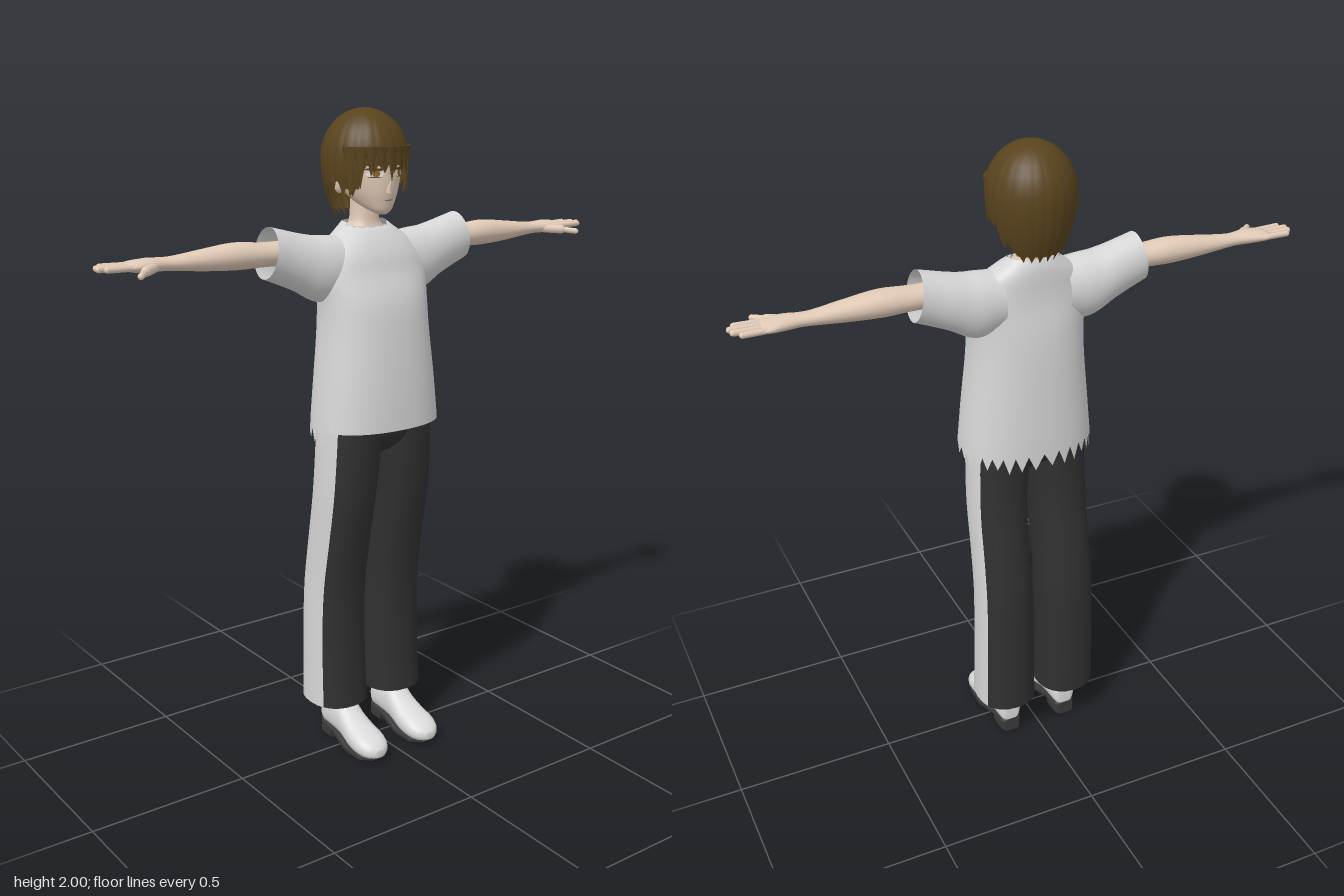
import * as THREE from 'three';

const paint = (name, color, side = THREE.FrontSide) => {
  const m = new THREE.MeshStandardMaterial({ color, side });
  m.name = name;
  return m;
};

// smooth interpolation through a table of section values, t in 0..rows-1
function sample(rows, t) {
  const last = rows.length - 1;
  const i = Math.min(Math.floor(t), last - 1), f = t - i;
  const at = k => rows[Math.max(0, Math.min(last, k))];
  return rows[0].map((_, c) => {
    const [p, q, r, s] = [at(i - 1)[c], at(i)[c], at(i + 1)[c], at(i + 2)[c]];
    return q + 0.5 * f * (r - p + f * (2 * p - 5 * q + 4 * r - s + f * (3 * (q - r) + s - p)));
  });
}

// skin a closed ring of points over the sections; the winding is turned outwards
function loft(rows, point, { steps = 4, seg = 24, cap = false, flat = false, alt = null } = {}) {
  const ni = (rows.length - 1) * steps, pos = [], lists = [[], []];
  for (let i = 0; i <= ni; i++) {
    const row = sample(rows, i / steps);
    for (let j = 0; j < seg; j++) pos.push(...point(row, (j / seg) * Math.PI * 2, i, j, ni));
  }
  for (let i = 0; i < ni; i++) for (let j = 0; j < seg; j++) {
    const a = i * seg + j, b = i * seg + (j + 1) % seg;
    lists[alt && alt(j) ? 1 : 0].push(a, b, a + seg, b, b + seg, a + seg);
  }
  if (cap) for (const i of [0, ni]) {
    const mid = [0, 0, 0], c = pos.length / 3;
    for (let j = 0; j < seg; j++) for (let k = 0; k < 3; k++) mid[k] += pos[(i * seg + j) * 3 + k] / seg;
    pos.push(...mid);
    for (let j = 0; j < seg; j++) {
      const a = i * seg + j, b = i * seg + (j + 1) % seg;
      lists[0].push(...(i ? [a, b, c] : [b, a, c]));
    }
  }
  const centre = new THREE.Vector3(), v = k => new THREE.Vector3().fromArray(pos, k * 3);
  for (let k = 0; k < pos.length / 3; k++) centre.addScaledVector(v(k), 3 / pos.length);
  const all = lists.flat();
  let volume = 0;
  for (let k = 0; k < all.length; k += 3) {
    const [a, b, c] = [0, 1, 2].map(n => v(all[k + n]).sub(centre));
    volume += a.dot(b.cross(c));
  }
  if (volume < 0) for (const l of lists) for (let k = 0; k < l.length; k += 3) [l[k], l[k + 1]] = [l[k + 1], l[k]];
  let g = new THREE.BufferGeometry();
  g.setAttribute('position', new THREE.Float32BufferAttribute(pos, 3));
  g.setIndex(lists.flat());
  if (alt) {
    g.addGroup(0, lists[0].length, 0);
    g.addGroup(lists[0].length, lists[1].length, 1);
  }
  if (flat) g = g.toNonIndexed();
  g.computeVertexNormals();
  return g;
}

// rounded-square cosine and sine
const round = (v, n) => Math.sign(v) * Math.abs(v) ** (2 / n);
const alongX = ([x, y, ry, z, rz], a) => [x, y + ry * Math.sin(a), z + rz * Math.cos(a)];
const alongY = ([y, x, rx, z, rz], a) => [x + rx * round(Math.cos(a), 2.3), y, z + rz * round(Math.sin(a), 2.3)];
const alongZ = n => ([z, rx, lo, hi], a) =>
  [rx * round(Math.cos(a), n), (lo + hi) / 2 + (hi - lo) / 2 * round(Math.sin(a), n), z];

export function createModel() {
  const model = new THREE.Group();
  const skin = paint('skin', 0xe0c9b6), hairMat = paint('hair brown', 0x59431d, THREE.DoubleSide);
  const cloth = paint('shirt white', 0xd6d6d6, THREE.DoubleSide), dark = paint('trouser black', 0x303030, THREE.DoubleSide);
  const leather = paint('shoe white', 0xdcdcdc), soleMat = paint('sole grey', 0x3a3a3a);
  const white = paint('eye white', 0xeeeae4), iris = paint('iris amber', 0x8a6830), lip = paint('lip', 0xa0705c);
  const add = (parent, name, geometry, material) => {
    const m = new THREE.Mesh(geometry, material);
    m.name = name;
    parent.add(m);
    return m;
  };
  let seed = 7;
  const rand = () => (seed = (seed * 16807) % 2147483647) / 2147483647;

  // shirt body with torn hem and collar
  const torso = [[1.068, 0, .208, .005, .145], [1.2, 0, .195, .004, .14], [1.35, 0, .18, 0, .13], [1.45, 0, .178, -.004, .118],
    [1.53, 0, .186, -.014, .096], [1.58, 0, .17, -.02, .086], [1.62, 0, .138, -.03, .075], [1.65, 0, .1, -.04, .062], [1.675, 0, .072, -.044, .05]];
  add(model, 'shirtBody', loft(torso, (row, a, i, j, ni) => {
    const p = alongY(row, a), front = Math.sin(a);
    if (i === 0 && front < .25 && j % 2) p[1] -= .03 + .028 * rand();
    if (i > ni - 4 && front > 0) p[1] -= front * .015 * (i - ni + 4) / 4;
    if (i === ni && front > .1 && j % 4 < 2) p[1] -= .016;
    return p;
  }, { seg: 64 }), cloth);

  // neck and head
  const neck = [[1.6, 0, .08, -.045, .055], [1.65, 0, .066, -.045, .05], [1.68, 0, .044, -.045, .042], [1.77, 0, .04, -.045, .04]];
  add(model, 'neck', loft(neck, alongY), skin);
  const head = [[1.7, 0, .012, .045, .014], [1.712, 0, .034, .032, .036], [1.735, 0, .056, .004, .07], [1.77, 0, .076, -.018, .098],
    [1.82, 0, .09, -.027, .108], [1.88, 0, .095, -.03, .11], [1.94, 0, .075, -.035, .085], [1.965, 0, .04, -.035, .05]];
  add(model, 'head', loft(head, ([y, , rx, z, rz], a) => [rx * Math.cos(a), y, z + rz * Math.sin(a)], { seg: 32, cap: true }), skin);
  const faceZ = (x, y) => {
    let lo = 0, hi = head.length - 1;
    for (let k = 0; k < 20; k++) {
      const mid = (lo + hi) / 2;
      if (sample(head, mid)[0] < y) lo = mid; else hi = mid;
    }
    const [, , rx, z, rz] = sample(head, lo);
    return z + rz * Math.sqrt(Math.max(0, 1 - (x / rx) ** 2));
  };
  // thin oval laid on the face
  const patch = (name, x, y, w, h, lift, mat) => {
    const g = new THREE.CircleGeometry(1, 20).scale(w, h, 1).translate(x, y, 0), p = g.attributes.position;
    for (let k = 0; k < p.count; k++) p.setZ(k, faceZ(p.getX(k), p.getY(k)) + lift);
    g.computeVertexNormals();
    add(model, name, g, mat);
  };
  for (const s of [-1, 1]) {
    patch('eyeWhite', s * .042, 1.82, .023, .011, .002, white);
    patch('iris', s * .041, 1.82, .01, .011, .003, iris);
    patch('upperLash', s * .043, 1.831, .026, .004, .004, hairMat);
    patch('lowerLash', s * .044, 1.809, .016, .0015, .003, hairMat);
    const ear = add(model, 'ear', new THREE.SphereGeometry(1, 14, 10), skin);
    ear.scale.set(.014, .032, .022);
    ear.position.set(s * .09, 1.79, -.045);
  }
  patch('mouth', 0, 1.742, .015, .0018, .002, lip);
  const nose = add(model, 'nose', new THREE.ConeGeometry(.011, .04, 10), skin);
  nose.position.set(0, 1.785, .084);
  nose.rotation.x = .35;

  // hair shell: short over the face, longer towards the nape, with ragged ends
  const edge = deg => deg < 42 ? 1.842 : deg < 75 ? 1.775 : deg < 105 ? 1.795 : deg < 130 ? 1.735 : 1.7;
  add(model, 'hairShell', loft([[0], [1]], ([v], a, i, j) => {
    const deg = Math.abs(a > Math.PI ? a - 2 * Math.PI : a) * 180 / Math.PI;
    const low = edge(deg) - (j % 3 === 1 ? .022 : 0);
    const y = low + (2 - low) * Math.cos(v * Math.PI / 2);
    const d = y - 1.86;
    const r = (d > 0 ? Math.sqrt(Math.max(0, 1 - (d / .14) ** 2)) : 1 - .26 * (d / .16) ** 2) * (1 + .018 * v * Math.cos(a * 24));
    return [.127 * r * Math.sin(a), y, -.042 + .134 * r * Math.cos(a)];
  }, { steps: 16, seg: 72 }), hairMat);

  // fringe and side locks: [angle, tip height, half width]
  const locks = [[0, 1.795, .02], [16, 1.825, .02], [30, 1.81, .02], [44, 1.775, .022], [58, 1.745, .022]];
  for (const s of [-1, 1]) for (const [deg, tip, w] of locks) {
    if (s < 0 && deg === 0) continue;
    const h = 1.895 - tip, a = s * deg * Math.PI / 180;
    const lock = add(model, 'hairLock', new THREE.ConeGeometry(w, h, 8).rotateX(Math.PI).scale(1, 1, .35), hairMat);
    lock.position.set(.122 * Math.sin(a), tip + h / 2, -.042 + .134 * Math.cos(a));
    lock.rotation.y = a;
  }

  // hips under the shirt
  add(model, 'hips', loft([[.985, 0, .1, 0, .06], [1.02, 0, .155, 0, .095], [1.07, 0, .168, 0, .108], [1.14, 0, .165, 0, .105]], alongY, { cap: true }), dark);

  const sleeve = [[.1, 1.548, .088, -.03, .075], [.16, 1.545, .098, -.032, .078], [.2, 1.55, .096, -.033, .076], [.25, 1.57, .085, -.035, .071],
    [.3, 1.588, .079, -.035, .066], [.35, 1.605, .074, -.035, .064]];
  const arm = [[.2, 1.6, .04, -.035, .04], [.35, 1.602, .035, -.035, .042], [.45, 1.605, .039, -.038, .044], [.55, 1.603, .031, -.04, .036],
    [.64, 1.602, .021, -.043, .027], [.68, 1.603, .019, -.043, .027], [.72, 1.604, .02, -.042, .035], [.765, 1.604, .016, -.045, .042], [.79, 1.604, .01, -.046, .039]];
  const leg = [[1.09, .092, .09, 0, .108], [1, .094, .092, -.001, .106], [.85, .102, .088, -.012, .105], [.7, .104, .087, -.038, .103],
    [.55, .105, .089, -.062, .1], [.4, .106, .092, -.068, .099], [.25, .106, .094, -.067, .102], [.145, .106, .096, -.064, .106]];
  const shoe = [[-.112, .022, .045, .1], [-.1, .036, .035, .14], [-.055, .043, .035, .152], [-.005, .044, .028, .15], [.03, .047, .02, .122],
    [.075, .053, .01, .096], [.125, .054, .008, .078], [.16, .04, .012, .06], [.177, .016, .02, .044]];
  const sole = [[-.114, .026, .002, .05], [-.1, .035, 0, .05], [-.05, .037, 0, .045], [-.044, .037, .024, .042], [0, .043, .01, .036],
    [.05, .05, 0, .02], [.125, .05, .001, .02], [.165, .028, .01, .022]];
  const fingers = [[-.075, -.08, .853], [-.055, -.057, .872], [-.035, -.034, .876], [-.015, -.014, .86]];
  const up = new THREE.Vector3(0, 1, 0);
  const rod = (parent, name, a, b, r) => {
    const p = new THREE.Vector3(...a), d = new THREE.Vector3(...b).sub(p), len = d.length();
    const m = add(parent, name, new THREE.CapsuleGeometry(r, len - 2 * r, 5, 10), skin);
    m.position.copy(p).addScaledVector(d, .5);
    m.quaternion.setFromUnitVectors(up, d.normalize());
  };

  // limbs, mirrored for the right side
  for (const [side, s] of [['left', 1], ['right', -1]]) {
    const limbs = new THREE.Group();
    limbs.name = side + 'Limbs';
    limbs.scale.x = s;
    model.add(limbs);
    add(limbs, 'sleeve', loft(sleeve, (row, a) => {
      const p = alongX(row, a);
      p[0] -= (p[1] - row[1]) * .17 * Math.max(0, (row[0] - .2) / .15);
      return p;
    }, { seg: 32 }), cloth);
    add(limbs, 'arm', loft(arm, alongX, { cap: true }), skin);
    for (const [z0, z1, tip] of fingers) rod(limbs, 'finger', [.765, 1.604, z0], [tip, 1.606, z1], .0092);
    rod(limbs, 'thumbBase', [.7, 1.6, -.03], [.765, 1.595, .022], .014);
    rod(limbs, 'thumb', [.75, 1.597, .008], [.792, 1.59, .055], .0095);
    // trouser leg with the pale stripe down its outer side
    add(limbs, 'trouserLeg', loft(leg, alongY, { alt: j => j < 2 || j > 21 }), [dark, cloth]);
    add(limbs, 'ankle', new THREE.CylinderGeometry(.038, .033, .22, 16).translate(.1, .23, -.055), skin);
    add(limbs, 'shoe', loft(shoe, alongZ(2.4), { cap: true }), leather).position.x = .1;
    add(limbs, 'sole', loft(sole, alongZ(5), { steps: 1, cap: true, flat: true }), soleMat).position.x = .1;
  }
  return model;
}
